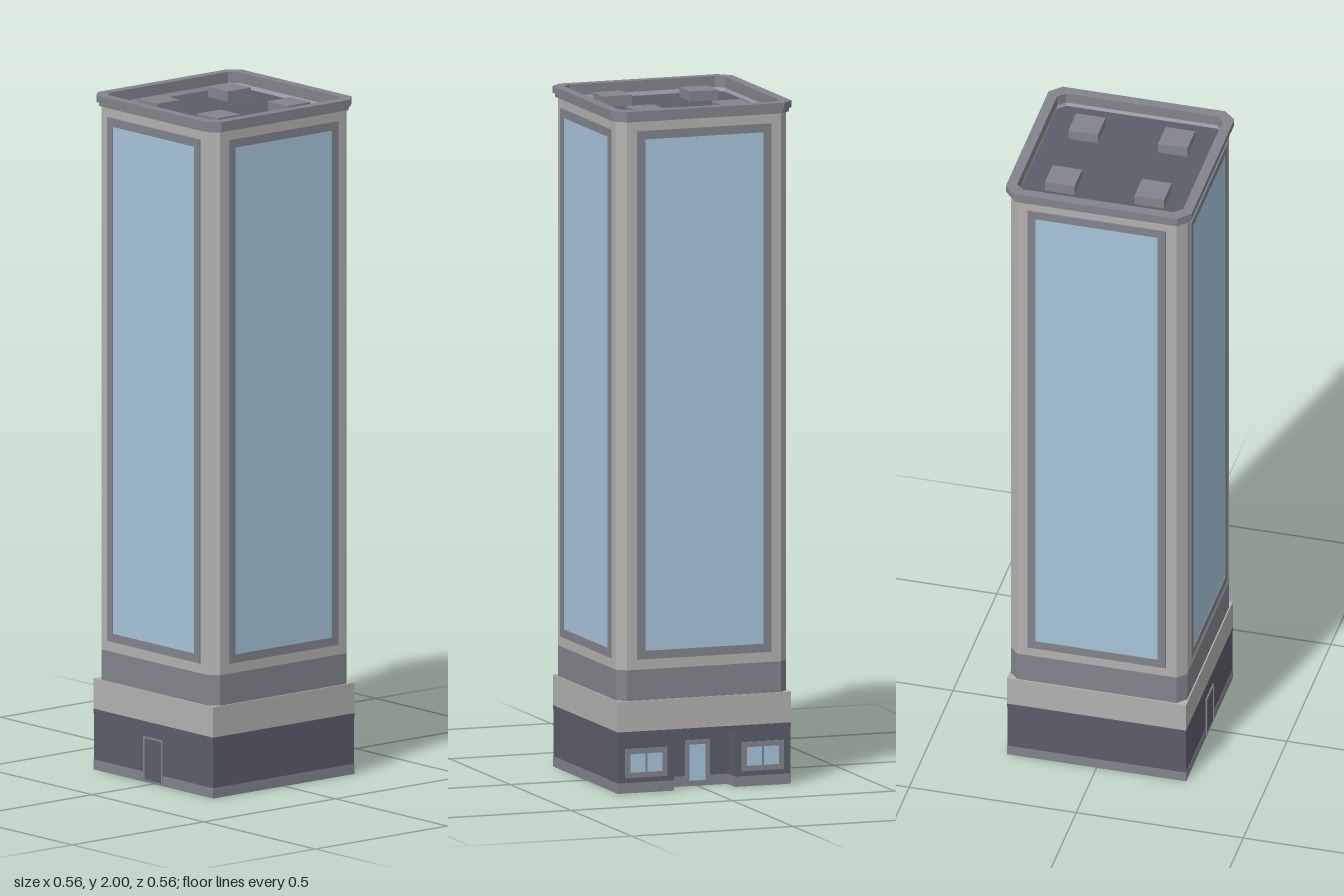
import * as THREE from 'three';

const mat = (color) => new THREE.MeshStandardMaterial({ color });
const DARK = mat(0x5b5d69), GREY = mat(0x83858c), LIGHT = mat(0xb3b2b0), GLASS = mat(0xa7c6da);

const BASE = 0.268, TOWER = 0.264, CUT = 0.026;
const ENTRY_W = 0.094, ENTRY_D = 0.06;

function polygon(points, Type = THREE.Shape) {
  return new Type(points.map(([x, y]) => new THREE.Vector2(x, y)));
}

// Square plan with cut corners
function octagon(h, c, Type) {
  const k = h - c;
  return polygon([[h, -k], [h, k], [k, h], [-k, h], [-h, k], [-h, -k], [-k, -h], [k, -h]], Type);
}

function rect(x0, y0, x1, y1, Type) {
  return polygon([[x0, y0], [x1, y0], [x1, y1], [x0, y1]], Type);
}

// Square plan with the entrance recess cut into the back
function notchedPlan(h) {
  const w = ENTRY_W, d = h - ENTRY_D;
  return polygon([[-h, -h], [h, -h], [h, h], [w, h], [w, d], [-w, d], [-w, h], [-h, h]]);
}

// Raise a plan from y0 to y1
function storey(group, name, plan, y0, y1, material) {
  const geo = new THREE.ExtrudeGeometry(plan, { depth: y1 - y0, bevelEnabled: false });
  geo.rotateX(-Math.PI / 2).translate(0, y0, 0);
  const mesh = new THREE.Mesh(geo, material);
  mesh.name = name;
  group.add(mesh);
}

// Flat panel standing on a wall plane
function panel(group, name, shape, depth, z, material) {
  const geo = new THREE.ExtrudeGeometry(shape, { depth, bevelEnabled: false });
  const mesh = new THREE.Mesh(geo, material);
  mesh.name = name;
  mesh.position.z = z;
  group.add(mesh);
}

// Frame with a filling; list of [x0, y0, x1, y1] openings
function framed(group, name, outer, openings, z, frameMat, fillMat) {
  const frame = rect(...outer);
  openings.forEach((o) => frame.holes.push(rect(...o, THREE.Path)));
  panel(group, name + 'Frame', frame, 0.004, z, frameMat);
  openings.forEach((o) => panel(group, name + 'Pane', rect(...o), 0.0015, z, fillMat));
}

export function createModel() {
  const model = new THREE.Group();
  model.name = 'towerBuilding';

  // Ground floor
  const base = new THREE.Group();
  base.name = 'base';
  model.add(base);
  storey(base, 'plinth', notchedPlan(BASE), 0, 0.03, GREY);
  storey(base, 'groundFloorWall', notchedPlan(BASE - 0.001), 0.03, 0.167, DARK);
  storey(base, 'entryLintel', rect(-BASE, -BASE, BASE, BASE), 0.167, 0.18, DARK);
  storey(base, 'baseBand', rect(-BASE, -BASE, BASE, BASE), 0.18, 0.27, LIGHT);

  // Tower shaft
  const tower = new THREE.Group();
  tower.name = 'tower';
  model.add(tower);
  storey(tower, 'towerFoot', octagon(TOWER, CUT), 0.27, 0.36, GREY);
  storey(tower, 'towerShaft', octagon(TOWER, CUT), 0.36, 1.95, LIGHT);

  // Tall glazing on all four sides
  for (let i = 0; i < 4; i++) {
    const side = new THREE.Group();
    side.name = 'glazing';
    side.rotation.y = i * Math.PI / 2;
    framed(side, 'tallWindow', [-0.207, 0.39, 0.207, 1.94], [[-0.183, 0.415, 0.183, 1.915]], TOWER, GREY, GLASS);
    tower.add(side);
  }

  // Roof deck, parapet and stepped cornice
  const roof = new THREE.Group();
  roof.name = 'roof';
  model.add(roof);
  storey(roof, 'roofDeck', octagon(0.25, 0.023), 1.95, 1.956, DARK);
  [['parapet', TOWER, CUT, 1.95, 1.968, LIGHT],
   ['corniceStep', 0.271, 0.03, 1.968, 1.98, GREY],
   ['cornice', 0.278, 0.034, 1.98, 2, GREY]].forEach(([name, h, c, y0, y1, m]) => {
    const ring = octagon(h, c);
    ring.holes.push(octagon(0.248, 0.022, THREE.Path));
    storey(roof, name, ring, y0, y1, m);
  });

  // Roof units
  for (const x of [-1, 1]) for (const z of [-1, 1]) {
    const unit = new THREE.Mesh(new THREE.BoxGeometry(0.088, 0.03, 0.088), GREY);
    unit.name = 'roofUnit';
    unit.position.set(x * 0.134, 1.971, z * 0.134);
    roof.add(unit);
  }

  // Front service door
  const door = new THREE.Group();
  door.name = 'frontDoor';
  framed(door, 'frontDoor', [-0.042, 0.005, 0.042, 0.135], [[-0.037, 0.007, 0.037, 0.13]], BASE - 0.001, GREY, DARK);
  model.add(door);

  // Back entrance: glazed door in the recess, a window on each side
  const back = new THREE.Group();
  back.name = 'backEntrance';
  back.rotation.y = Math.PI;
  framed(back, 'entryDoor', [-0.038, 0.003, 0.038, 0.135], [[-0.025, 0.016, 0.025, 0.122]], BASE - ENTRY_D - 0.001, GREY, GLASS);
  for (const s of [-1, 1]) {
    const win = new THREE.Group();
    win.name = 'groundWindow';
    win.position.x = s * 0.18;
    framed(win, 'groundWindow', [-0.065, 0.045, 0.065, 0.13],
      [[-0.05, 0.06, -0.003, 0.115], [0.003, 0.06, 0.05, 0.115]], BASE - 0.001, GREY, GLASS);
    back.add(win);
  }
  model.add(back);

  return model;
}
